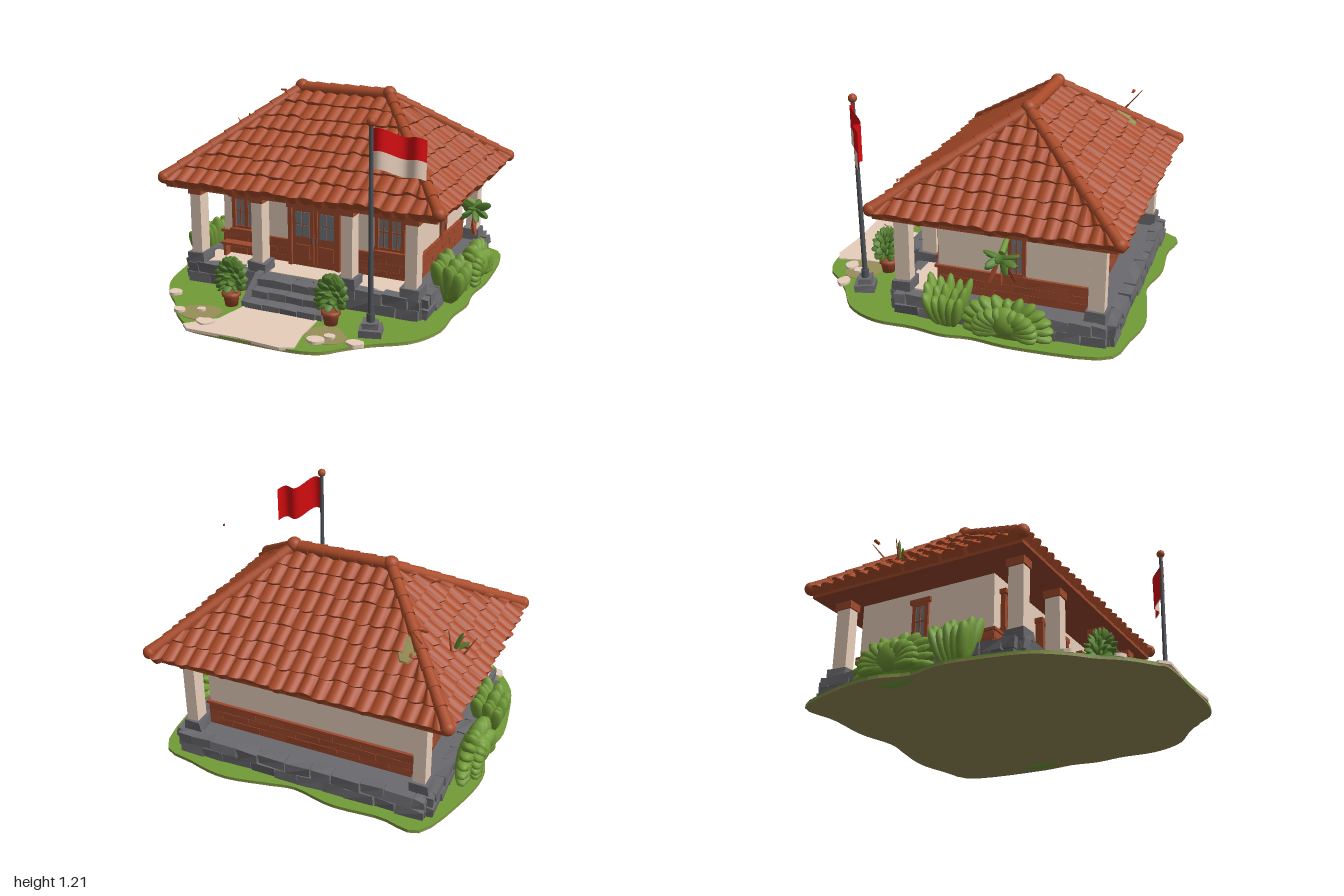
import * as THREE from 'three';
import { mergeGeometries } from 'three/addons/utils/BufferGeometryUtils.js';
import { ConvexGeometry } from 'three/addons/geometries/ConvexGeometry.js';

const V = (x, y, z) => new THREE.Vector3(x, y, z);
const UP = V(0, 1, 0);
let seed = 7;
const rnd = () => (seed = (seed * 16807) % 2147483647) / 2147483647;
const jit = (a) => (rnd() - 0.5) * 2 * a;

const mat = (name, color, side = THREE.FrontSide) => Object.assign(new THREE.MeshStandardMaterial({ color, side }), { name });

// ---- geometry helpers ----
const box = (x, y, z, w, h, d) => new THREE.BoxGeometry(w, h, d).translate(x, y, z);
const ball = (x, y, z, r, sx = 1, sy = 1, sz = 1) => new THREE.SphereGeometry(r, 16, 12).scale(sx, sy, sz).translate(x, y, z);
const orient = (g, p, dir) => g.applyQuaternion(new THREE.Quaternion().setFromUnitVectors(UP, dir.clone().normalize())).translate(p.x, p.y, p.z);
const rod = (a, b, r0, r1 = r0, n = 12) => {
  const d = b.clone().sub(a), l = d.length();
  return orient(new THREE.CylinderGeometry(r1, r0, l, n).translate(0, l / 2, 0), a, d);
};
const leaf = (p, dir, len, w, t = 0.25) => orient(new THREE.SphereGeometry(0.5, 8, 7).scale(w, len, w * t).translate(0, len / 2, 0), p, dir);
// roughly hewn block: shared corners get the same small offset
const block = (x, y, z, w, h, d, j = 0.006) => {
  const g = new THREE.BoxGeometry(w, h, d), p = g.attributes.position, off = {};
  for (let i = 0; i < p.count; i++) {
    const k = [p.getX(i), p.getY(i), p.getZ(i)].map(Math.sign).join();
    const o = (off[k] ??= [jit(j), jit(j), jit(j)]);
    p.setXYZ(i, p.getX(i) + o[0], p.getY(i) + o[1], p.getZ(i) + o[2]);
  }
  const f = g.toNonIndexed();
  f.computeVertexNormals();
  return f.translate(x, y, z);
};
// courses of blocks around a rectangle
const courses = (x0, x1, z0, z1, y0, rows, h, len, depth, j) => {
  const out = [];
  for (let r = 0; r < rows; r++) {
    const y = y0 + (r + 0.5) * h;
    const run = (a, b, put) => {
      const n = Math.round((b - a) / len);
      const cuts = [a];
      for (let i = 0; i < n; i++) cuts.push(Math.min(b, a + ((i + (r % 2 ? 0.5 : 1)) * (b - a)) / n + jit(len * 0.12)));
      cuts[n] = r % 2 ? cuts[n] : b;
      cuts.push(b);
      for (let i = 0; i + 1 < cuts.length; i++) {
        const w = cuts[i + 1] - cuts[i];
        if (w > 0.02) put((cuts[i] + cuts[i + 1]) / 2, w - 0.004);
      }
    };
    for (const z of [z0, z1]) run(x0, x1, (c, w) => out.push(block(c, y, z, w, h - 0.003, depth, j)));
    for (const x of [x0, x1]) run(z0, z1, (c, w) => out.push(block(x, y, c, depth, h - 0.003, w, j)));
  }
  return out;
};
// flat outline in x,z raised to a slab
const slab = (pts, y, h) => {
  const c = new THREE.CatmullRomCurve3(pts.map(([x, z]) => V(x, 0, z)), true, 'catmullrom', 0.5).getPoints(110);
  return new THREE.ExtrudeGeometry(new THREE.Shape(c.map((p) => new THREE.Vector2(p.x, -p.z))), { depth: h, bevelEnabled: false }).rotateX(-Math.PI / 2).translate(0, y, 0);
};
const oval = (x, z, rx, rz) => Array.from({ length: 9 }, (_, i) => {
  const a = (i / 9) * Math.PI * 2, k = 1 + jit(0.18);
  return [x + Math.cos(a) * rx * k, z + Math.sin(a) * rz * k];
});

// tiled slope: eave corners A,B and ridge corners C,D, seen from outside
function tiles(A, B, C, D, cols, rows) {
  const dir = B.clone().sub(A), L = dir.length();
  dir.normalize();
  const c = C.clone().sub(A).dot(dir), d = D.clone().sub(A).dot(dir);
  const rise = C.clone().sub(A).addScaledVector(dir, -c);
  const n = dir.clone().cross(rise).normalize();
  const sub = 8, N = cols * sub, pos = [], idx = [];
  for (let r = 0; r < rows; r++) {
    const js = Array.from({ length: cols + 1 }, () => [jit(0.018), jit(0.006)]);
    const base = pos.length / 3;
    for (let k = 0; k < 4; k++) for (let i = 0; i <= N; i++) {
      const q = Math.sin(((i % sub) / sub) * Math.PI) ** 0.8, [jv, jh] = js[Math.floor(i / sub)];
      const low = k < 3;
      const v = low ? r / rows + (jv - 0.018) * q : Math.min(1, (r + 1) / rows + 0.02);
      const h = k === 0 ? (r ? -0.004 : -0.015) : q * (0.022 + jh) + (low ? 0.02 : 0.002);
      const vv = Math.max(0, v);
      const s = Math.min(Math.max((i / N) * L, c * vv), L + (d - L) * vv);
      const p = A.clone().addScaledVector(dir, s).addScaledVector(rise, v).addScaledVector(n, h);
      pos.push(p.x, p.y, p.z);
    }
    for (const k of [0, 2]) for (let i = 0; i < N; i++) {
      const a = base + k * (N + 1) + i, b = a + N + 1;
      idx.push(a, a + 1, b + 1, a, b + 1, b);
    }
  }
  const g = new THREE.BufferGeometry();
  g.setAttribute('position', new THREE.Float32BufferAttribute(pos, 3));
  g.setIndex(idx);
  g.computeVertexNormals();
  return g;
}
// overlapping round cap tiles along a line
const caps = (a, b, n, r) => Array.from({ length: n }, (_, i) => rod(a.clone().lerp(b, i / n), a.clone().lerp(b, (i + 1.12) / n), r * 1.12, r * 0.9, 14));

export function createModel() {
  const root = new THREE.Group();
  const M = {
    tile: mat('terracotta tile', 0xa94b29), wood: mat('red brown wood and brick', 0x9f4a2d),
    cream: mat('cream plaster', 0xe8cfbc, THREE.DoubleSide), stone: mat('grey stone', 0x6b6b6f),
    grass: mat('light green', 0x739c38), leaf: mat('dark leaf green', 0x557f2f), soil: mat('olive soil', 0x989058),
    red: mat('flag red', 0xd80c10, THREE.DoubleSide), glass: mat('grey glass', 0x73797c), metal: mat('dark metal', 0x4e5257),
  };
  const part = (name, m, geos, parent = root) => {
    const list = [geos].flat().map((g) => {
      const f = g.index ? g.toNonIndexed() : g;
      f.deleteAttribute('uv');
      return f;
    });
    const mesh = new THREE.Mesh(mergeGeometries(list), m);
    mesh.name = name;
    parent.add(mesh);
    return mesh;
  };
  const group = (name, x = 0, y = 0, z = 0, ry = 0) => {
    const g = new THREE.Group();
    g.name = name;
    g.position.set(x, y, z);
    g.rotation.y = ry;
    root.add(g);
    return g;
  };

  // ground, path and patches
  const rim = [[-0.86, 0.45], [-0.76, 0.6], [-0.66, 0.7], [-0.57, 0.82], [-0.44, 0.93], [-0.38, 0.97], [-0.1, 0.975], [0.2, 0.97], [0.36, 0.93], [0.45, 0.84], [0.56, 0.74], [0.74, 0.61],
    [0.83, 0.42], [0.83, 0.2], [0.855, 0.02], [0.835, -0.15], [0.855, -0.4], [0.8, -0.86], [0.58, -0.95], [0.36, -0.99], [0.12, -0.95], [-0.05, -0.92], [-0.28, -0.965], [-0.55, -0.95], [-0.78, -0.965], [-0.91, -0.65], [-0.95, -0.4], [-0.9, -0.2], [-0.94, 0], [-0.91, 0.25]];
  part('soilBase', M.soil, slab(rim, 0, 0.009));
  part('lawn', M.grass, slab(rim, 0.009, 0.01));
  part('soilPatches', M.soil, [slab(oval(-0.45, 0.77, 0.13, 0.1), 0.016, 0.006), slab(oval(0.31, 0.74, 0.12, 0.1), 0.016, 0.006)]);
  const path = new THREE.Shape([[-0.27, -0.6], [-0.31, -0.8], [-0.37, -0.86], [-0.45, -0.94], [-0.4, -0.985], [-0.1, -0.97], [0.16, -0.985], [0.23, -0.95], [0.2, -0.8], [0.19, -0.6]].map(([x, y]) => new THREE.Vector2(x, y)));
  part('path', M.cream, new THREE.ExtrudeGeometry(path, { depth: 0.016, bevelEnabled: false }).rotateX(-Math.PI / 2).translate(0, 0.01, 0));
  part('flatStones', M.cream, [[-0.73, 0.59, 0.04], [-0.57, 0.79, 0.035], [-0.35, 0.87, 0.05], [-0.46, 0.74, 0.025], [0.29, 0.83, 0.05], [0.34, 0.76, 0.03], [0.49, 0.78, 0.045]]
    .map(([x, z, r]) => slab(oval(x, z, r, r * 0.8), 0.015, 0.02)));

  // plinth, porch floor and stairs
  part('plinthCore', M.stone, box(-0.04, 0.07, -0.255, 1.47, 0.12, 1.22));
  part('plinthStones', M.stone, courses(-0.775, 0.695, -0.855, 0.345, 0.017, 2, 0.063, 0.14, 0.07, 0.007));
  part('porchFloor', M.cream, box(-0.04, 0.137, 0.23, 1.36, 0.012, 0.2));
  const steps = [];
  [[0.145, 0.46], [0.1, 0.53], [0.058, 0.61]].forEach(([h, z]) => {
    for (let i = 0; i < 4; i++) steps.push(block(-0.205 + i * 0.11, h / 2 + 0.007, (z + 0.36) / 2, 0.106, h - 0.014, z - 0.36, 0.004));
  });
  part('stairs', M.stone, steps);
  const cheek = new THREE.Shape([[0.36, 0.01], [0.59, 0.01], [0.59, 0.05], [0.42, 0.16], [0.36, 0.16]].map(([a, b]) => new THREE.Vector2(a, b)));
  part('stairCheeks', M.stone, [-0.29, 0.175].map((x) => new THREE.ExtrudeGeometry(cheek, { depth: 0.035, bevelEnabled: false }).rotateY(-Math.PI / 2).translate(x + 0.035, 0, 0)));

  // walls with brick lower band
  part('walls', M.cream, box(-0.04, 0.375, -0.29, 1.24, 0.47, 0.85));
  part('brickBand', M.wood, [...courses(-0.66, 0.58, -0.715, 0.135, 0.14, 3, 0.044, 0.16, 0.018, 0.0015), box(-0.04, 0.279, -0.29, 1.275, 0.016, 0.885), box(-0.04, 0.2, -0.29, 1.253, 0.13, 0.863)]);

  // columns on stone feet with wooden heads
  const cols = [];
  for (const x of [-0.72, -0.31, 0.255, 0.635]) cols.push([x, 0.315]);
  for (const x of [-0.72, 0.635]) cols.push([x, -0.78]);
  part('columns', M.cream, cols.map(([x, z]) => box(x, 0.39, z, 0.068, 0.42, 0.088)));
  part('columnFeet', M.stone, cols.map(([x, z]) => block(x, 0.165, z, 0.11, 0.07, 0.12)));
  part('columnHeads', M.wood, cols.map(([x, z]) => box(x, 0.585, z, 0.085, 0.05, 0.105)));

  // windows
  const win = (name, x, y, z, ry, w, h, deep) => {
    const g = group(name, x, y, z, ry);
    part('pane', M.glass, box(0, 0, 0.004, w, h, 0.008), g);
    const bars = [box(0, h / 2 + 0.012, deep * 0.3, w + 0.05, 0.026, deep), box(0, -h / 2 - 0.01, deep * 0.3, w + 0.04, 0.022, deep), box(0, 0, 0.008, w > 0.1 ? 0.024 : 0.008, h, 0.014)];
    for (const s of [-1, 1]) bars.push(box((s * w) / 2, 0, deep * 0.24, 0.022, h, deep * 0.6), box(0, s * (h / 2 - 0.008), 0.01, w, 0.016, 0.014));
    if (w > 0.1) for (const s of [-1, 1]) bars.push(box((s * w) / 4, 0, 0.008, 0.006, h, 0.012));
    bars.push(box(0, 0.01, 0.008, w, 0.007, 0.012));
    part('windowFrame', M.wood, bars, g);
  };
  win('frontWindowRight', -0.5, 0.41, 0.135, 0, 0.16, 0.2, 0.05);
  win('frontWindowLeft', 0.43, 0.41, 0.135, 0, 0.16, 0.2, 0.05);
  win('sideWindowLeft', 0.58, 0.41, -0.32, Math.PI / 2, 0.08, 0.24, 0.025);
  win('sideWindowRight', -0.66, 0.41, -0.32, -Math.PI / 2, 0.08, 0.24, 0.025);

  // double door
  const door = group('door', -0.035, 0, 0.15);
  part('doorLeaves', M.wood, box(0, 0.32, 0, 0.3, 0.37, 0.03), door);
  part('doorFrame', M.wood, [box(0, 0.515, 0.005, 0.35, 0.03, 0.06), ...[-1, 1].flatMap((s) => [
    box(s * 0.155, 0.33, 0.01, 0.024, 0.37, 0.045), box(s * 0.075, 0.23, 0.017, 0.09, 0.09, 0.012), box(s * 0.012, 0.33, 0.017, 0.018, 0.35, 0.014)])], door);
  part('doorPanes', M.glass, [-1, 1].flatMap((s) => [0.055, 0.103].flatMap((x) => [0.36, 0.44].map((y) => box(s * x, y, 0.016, 0.042, 0.073, 0.006)))), door);
  part('doorHandles', M.metal, [-1, 1].map((s) => box(s * 0.013, 0.31, 0.028, 0.007, 0.035, 0.012)), door);

  // porch bench
  part('bench', M.wood, [box(-0.52, 0.222, 0.185, 0.24, 0.016, 0.06), ...[-0.62, -0.42].map((x) => box(x, 0.18, 0.185, 0.018, 0.08, 0.05))]);

  // hipped roof
  const x0 = -0.885, x1 = 0.805, z0 = -0.915, z1 = 0.425, ey = 0.635, ry = 1.1, rz = -0.27;
  const R0 = V(-0.325, ry, rz), R1 = V(0.245, ry, rz);
  const E = (x, z, y = ey) => V(x, y, z);
  const corners = [[x0, z1], [x1, z1], [x1, z0], [x0, z0]];
  part('roofCore', M.wood, new ConvexGeometry([...corners.flatMap(([x, z]) => [E(x * 0.99, z * 0.99, 0.605), E(x * 0.99, z * 0.99, 0.628)]), V(-0.325, 1.09, rz), V(0.245, 1.09, rz)]));
  part('roofTiles', M.tile, [
    tiles(E(x0, z1), E(x1, z1), R0, R1, 21, 7), tiles(E(x1, z0), E(x0, z0), R1, R0, 21, 7),
    tiles(E(x1, z1), E(x1, z0), R1, R1, 17, 7), tiles(E(x0, z0), E(x0, z1), R0, R0, 17, 7)]);
  const top = (p) => p.clone().add(V(0, 0.022, 0));
  part('ridgeAndHipCaps', M.tile, [...caps(top(R0), top(R1), 6, 0.035),
    ...corners.flatMap(([x, z]) => caps(E(x, z, 0.665), top(x < 0 ? R0 : R1), 9, 0.031)),
    ...corners.map(([x, z]) => ball(x, 0.662, z, 0.038)), ball(R0.x, 1.128, rz, 0.043), ball(R1.x, 1.128, rz, 0.043)]);

  // sprout, worn patch and loose shards on the damaged roof side
  part('roofSprout', M.leaf, [leaf(V(-0.74, 0.77, -0.42), V(-0.35, 1, 0.1), 0.13, 0.025), leaf(V(-0.74, 0.77, -0.4), V(-0.9, 0.6, 0.5), 0.09, 0.025)]);
  part('roofTwigs', M.wood, [rod(V(-0.78, 0.74, -0.4), V(-0.85, 0.86, -0.38), 0.008, 0.002, 6), rod(V(-0.74, 0.76, -0.44), V(-0.72, 0.92, -0.46), 0.008, 0.002, 6), rod(V(-0.64, 0.86, -0.58), V(-0.62, 1.03, -0.72), 0.006, 0.002, 6)]);
  part('roofShards', M.tile, [block(-0.78, 0.78, -0.36, 0.05, 0.012, 0.02), block(-0.66, 1.01, -0.66, 0.04, 0.01, 0.012, 0.003), block(0.97, 0.92, 0.18, 0.01, 0.012, 0.01, 0.002)]);
  part('roofWornPatch', M.soil, orient(new THREE.CylinderGeometry(0.055, 0.06, 0.008, 7).scale(0.9, 1, 1.4), V(-0.57, 0.87, -0.64), V(0, 0.82, -0.57)));

  // potted plants
  for (const x of [-0.35, 0.27]) {
    const g = group('pottedPlant', x, 0.018, 0.595);
    part('pot', M.wood, new THREE.LatheGeometry([[0, 0], [0.036, 0], [0.046, 0.06], [0.054, 0.06], [0.054, 0.08], [0.04, 0.08], [0, 0.072]].map(([a, b]) => new THREE.Vector2(a, b)), 18), g);
    const lv = [ball(0, 0.165, 0, 0.06, 1, 1.15, 1)];
    for (let r = 0; r < 5; r++) for (let i = 0; i < 9; i++) {
      const a = ((i + r * 0.5) / 9) * Math.PI * 2, e = -0.5 + r * 0.42;
      lv.push(leaf(V(0, 0.15 + r * 0.01, 0), V(Math.cos(a) * Math.cos(e), Math.sin(e), Math.sin(a) * Math.cos(e)), 0.098, 0.055, 0.4));
    }
    part('foliage', M.leaf, lv, g);
  }

  // side bushes: lobed rosettes and upright flared fans
  for (const s of [-1, 1]) {
    const cx = -0.045 + s * 0.8;
    const ros = [ball(cx + s * 0.05, 0.13, -0.33, 0.085, 0.7, 1, 1), ball(cx, 0.1, -0.33, 0.1, 0.6, 1.2, 2.1)];
    for (let ring = 0; ring < 2; ring++) for (let i = 0; i < 13; i++) {
      const a = -0.25 + (i / 12) * (Math.PI + 0.5), k = ring ? 0.75 : 1;
      ros.push(leaf(V(cx + s * ring * 0.02, 0.09, -0.33), V(s * (0.1 + ring * 0.25), Math.sin(a) * 0.68, Math.cos(a)), k * (0.16 + 0.1 * Math.abs(Math.cos(a))), 0.1, 0.7));
    }
    const fan = [ball(cx, 0.12, 0.02, 0.1, 0.5, 1.1, 0.95)];
    for (let ring = 0; ring < 3; ring++) for (let i = 0; i < 5; i++) {
      const t = (i - 2) / 2;
      fan.push(leaf(V(cx, 0.02, 0.02 + t * 0.04), V(s * (ring - 0.8) * 0.3, 1, t * 0.3), 0.29 - ring * 0.03 - (i % 2) * 0.02, 0.1, 0.6));
    }
    part('rosetteBush', M.grass, ros);
    part('fanBush', M.grass, fan);
  }

  // hanging plant beside the side window
  part('hangingBranch', M.grass, rod(V(0.66, 0.57, -0.3), V(0.78, 0.51, -0.3), 0.014, 0.018, 8));
  const hang = [];
  for (let i = 0; i < 12; i++) {
    const a = (i / 12) * Math.PI * 2;
    hang.push(leaf(V(0.78, 0.48, -0.3), V(Math.cos(a) * 0.8, 0.3 - (i % 3) * 0.45, Math.sin(a)), 0.105, 0.05, 0.4));
  }
  part('hangingLeaves', M.leaf, hang);
  part('hangingDryLeaves', M.tile, [-1, 0, 1].map((t) => leaf(V(0.78, 0.45, -0.3 + t * 0.02), V(t * 0.3, -1, t * 0.4), 0.13, 0.03)));

  // flagpole
  const foot = group('poleBase', 0.515, 0, 0.625, 0.3);
  part('baseStones', M.stone, [block(0, 0.037, 0, 0.125, 0.046, 0.115, 0.005), block(0, 0.075, 0, 0.08, 0.04, 0.08, 0.004)], foot);
  part('pole', M.metal, [rod(V(0.515, 0.08, 0.625), V(0.515, 1.15, 0.645), 0.015, 0.011), rod(V(0.515, 0.09, 0.625), V(0.515, 0.14, 0.626), 0.022)]);
  part('poleBall', M.tile, ball(0.515, 1.168, 0.645, 0.025));
  // waving flag: red and cream bands in front, red cloth behind
  const cloth = (y, h, back) => {
    const g = new THREE.PlaneGeometry(1, 1, 16, 4), p = g.attributes.position;
    for (let i = 0; i < p.count; i++) {
      const u = p.getX(i) + 0.5, w = Math.sin(u * 9) * 0.024;
      p.setXYZ(i, 0.525 + u * 0.235 - back * 0.5, y + p.getY(i) * h - 0.075 * u + w * 0.6, 0.64 - 0.145 * u + w - back);
    }
    g.computeVertexNormals();
    return g;
  };
  part('flagUpper', M.red, cloth(1.078, 0.115, 0));
  part('flagLower', M.cream, cloth(0.973, 0.095, 0));
  part('flagBacking', M.red, cloth(1.031, 0.209, 0.005));
  return root;
}
